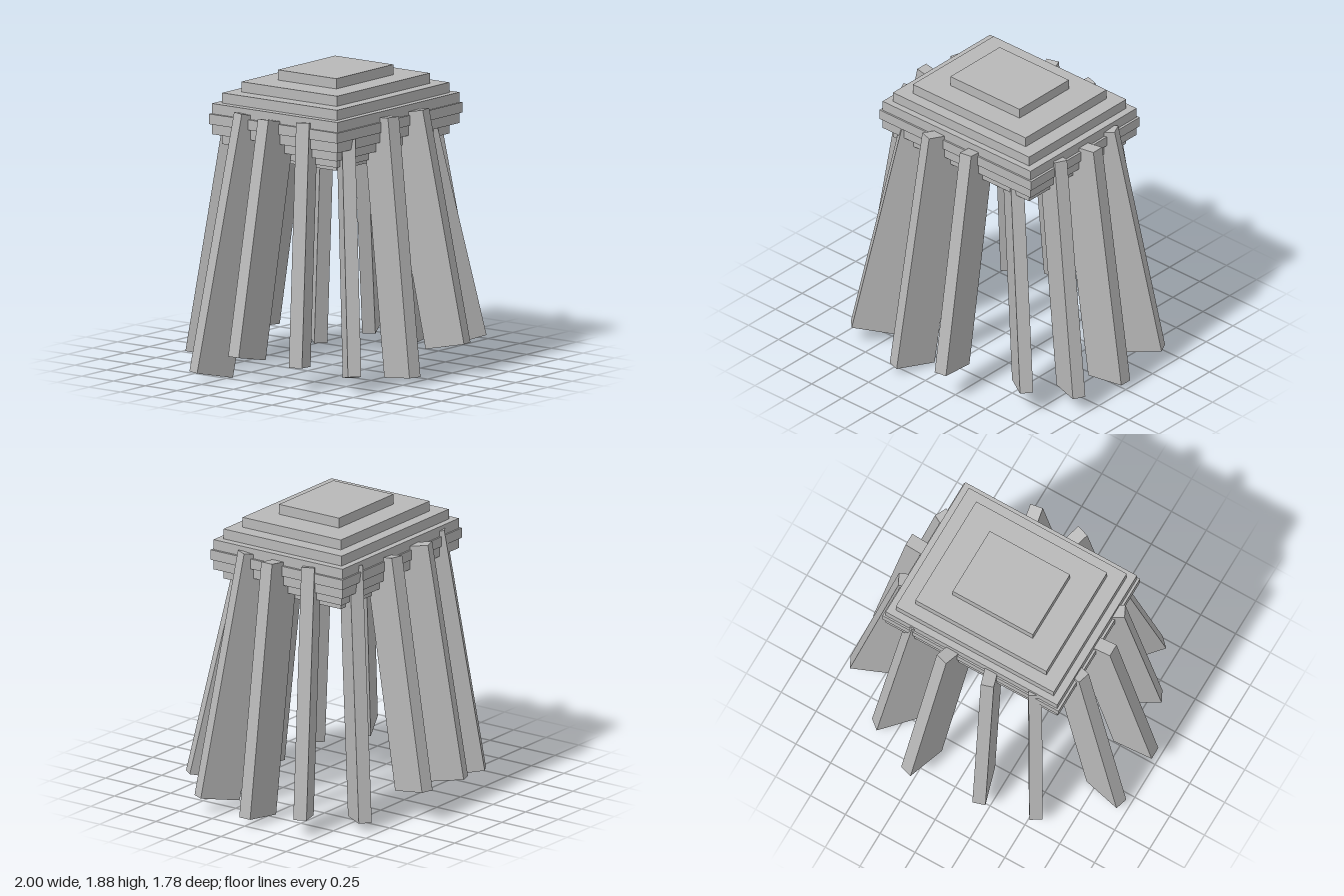
import * as THREE from 'three';

const SLAB_HEIGHT = 0.0648;
const BASE_Y = 1.302;
const LEG_DEPTH = 0.278;
const LEG_THICKNESS = 0.083;

// Half width (x) and half depth (z) of the slabs, from the middle outwards
const SLABS = [[0.632, 0.506], [0.616, 0.495], [0.567, 0.453], [0.47, 0.377], [0.288, 0.23]];

// Outer edge of each plank: top x, z, then bottom x, z, y
const LEGS = [
  [0.767, 0, 1.0, 0, 0.055],
  [0.69, -0.26, 0.96, -0.395, 0.11],
  [0.485, -0.483, 0.633, -0.66, 0.055],
  [0.195, -0.585, 0.28, -0.88, 0.21],
  [-0.14, -0.596, -0.21, -0.82, 0.155],
  [-0.43, -0.5, -0.56, -0.716, 0.1],
  [-0.634, -0.25, -0.96, -0.348, 0.063],
  [-0.7, 0, -1.0, 0, 0.208],
  [-0.634, 0.26, -0.84, 0.364, 0.158],
  [-0.43, 0.46, -0.666, 0.695, 0.115],
  [-0.14, 0.59, -0.21, 0.815, 0.055],
  [0.19, 0.588, 0.238, 0.877, 0.21],
  [0.455, 0.412, 0.735, 0.628, 0.163],
  [0.687, 0.255, 0.96, 0.39, 0.11],
];

export function createModel() {
  const model = new THREE.Group();
  const grey = new THREE.MeshStandardMaterial({ color: 0xb8b8b8 });
  grey.name = 'grey';

  // Domed body of stacked slabs, the same above and below the middle
  const body = new THREE.Group();
  body.name = 'steppedBody';
  for (let i = -4; i <= 4; i++) {
    const [hx, hz] = SLABS[Math.abs(i)];
    const slab = new THREE.Mesh(new THREE.BoxGeometry(hx * 2, SLAB_HEIGHT, hz * 2), grey);
    slab.name = 'slab';
    slab.position.set(0.032, BASE_Y + (i + 4.5) * SLAB_HEIGHT, 0);
    body.add(slab);
  }
  model.add(body);

  // Ring of planks that splay outwards
  const legs = new THREE.Group();
  legs.name = 'hangingPlanks';
  for (const [tx, tz, bx, bz, by] of LEGS) {
    const top = new THREE.Vector3(tx, 1.667, tz);
    const bottom = new THREE.Vector3(bx, by, bz);
    const up = top.clone().sub(bottom);
    const length = up.length();
    up.normalize();
    const side = new THREE.Vector3(bz - tz, 0, tx - bx).normalize();
    const outward = side.clone().cross(up).normalize();
    if (outward.x * bx + outward.z * bz < 0) {
      side.negate();
      outward.negate();
    }
    const leg = new THREE.Mesh(new THREE.BoxGeometry(LEG_THICKNESS, length, LEG_DEPTH), grey);
    leg.name = 'plank';
    leg.quaternion.setFromRotationMatrix(new THREE.Matrix4().makeBasis(side, up, outward));
    leg.position.copy(top).add(bottom).multiplyScalar(0.5).addScaledVector(outward, -LEG_DEPTH / 2);
    legs.add(leg);
  }
  model.add(legs);
  return model;
}
